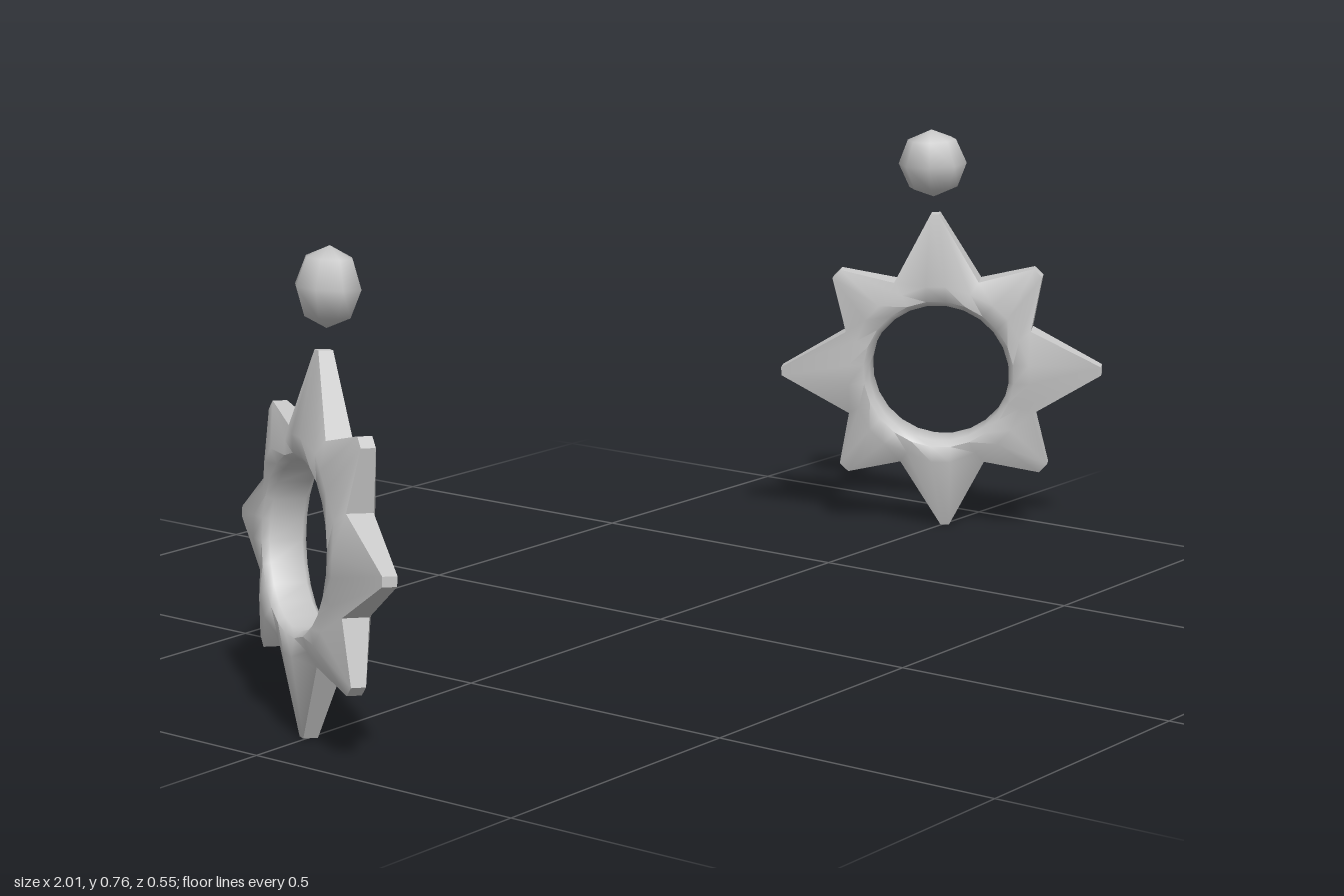
import * as THREE from 'three';
import { toCreasedNormals } from 'three/addons/utils/BufferGeometryUtils.js';

const metal = new THREE.MeshStandardMaterial({ color: 0xc8c8c8 });
metal.name = 'silver grey';

// Eight-pointed star ring: three columns per spike (two tip corners and a valley)
function starGeometry() {
  const columns = [];
  for (let i = 0; i < 8; i++) {
    const base = i * Math.PI / 4, step = Math.PI / 24;
    const tip = i % 2 ? 0.266 : 0.3, half = i % 2 ? 0.011 : 0.008;
    for (const side of [-1, 1]) columns.push({
      hole: base + side * step, outer: base + side * Math.atan(half / tip),
      r: tip, mid: 0.17, midH: 0.04, edgeH: 0.012,
    });
    // valleys sit slightly nearer the diagonal spikes
    const valley = base + Math.PI / 8 + (i % 2 ? -1 : 1) * 0.035;
    columns.push({ hole: base + 3 * step, outer: valley, r: 0.19, mid: 0.165, midH: 0.033, edgeH: 0.022 });
  }
  // Closed cross-section of each column, from the hole wall out to the rim
  const pos = [], index = [], n = columns.length;
  for (const c of columns) {
    const midAngle = c.hole + (c.outer - c.hole) * 0.25;
    const section = [
      [0.131, -0.027, c.hole], [0.131, 0.027, c.hole], [0.141, 0.037, c.hole],
      [c.mid, c.midH, midAngle], [c.r, c.edgeH, c.outer],
      [c.r, -c.edgeH, c.outer], [c.mid, -c.midH, midAngle], [0.141, -0.037, c.hole],
    ];
    for (const [r, z, a] of section) pos.push(r * Math.cos(a), r * Math.sin(a), z);
  }
  for (let j = 0; j < n; j++) for (let k = 0; k < 8; k++) {
    const j2 = (j + 1) % n, k2 = (k + 1) % 8;
    const a = j * 8 + k, b = j2 * 8 + k, c = j2 * 8 + k2, d = j * 8 + k2;
    index.push(a, d, c, a, c, b);
  }
  const g = new THREE.BufferGeometry();
  g.setAttribute('position', new THREE.Float32BufferAttribute(pos, 3));
  g.setIndex(index);
  return toCreasedNormals(g, 0.87);
}

export function createModel() {
  const model = new THREE.Group();
  model.name = 'earrings';
  const starGeo = starGeometry();
  const studGeo = new THREE.SphereGeometry(0.063, 8, 4);

  for (const side of [1, -1]) {
    const earring = new THREE.Group();
    earring.name = side > 0 ? 'leftEarring' : 'rightEarring';

    // Tilted plane of the earring
    const across = new THREE.Vector3(side * 0.447, 0.037, 0.894).normalize();
    const up = new THREE.Vector3(-side * 0.083, 0.9966, 0).normalize();
    const normal = new THREE.Vector3().crossVectors(across, up).normalize();
    up.crossVectors(normal, across);
    const turn = new THREE.Quaternion().setFromRotationMatrix(
      new THREE.Matrix4().makeBasis(across, up, normal));

    const star = new THREE.Mesh(starGeo, metal);
    star.name = 'starRing';
    star.position.set(side * 0.859, 0.3, 0);
    star.quaternion.copy(turn);

    const stud = new THREE.Mesh(studGeo, metal);
    stud.name = 'stud';
    stud.position.set(side * 0.822, 0.694, 0);
    stud.quaternion.copy(turn);
    stud.scale.set(1, 1, 0.82);

    earring.add(star, stud);
    model.add(earring);
  }
  return model;
}
